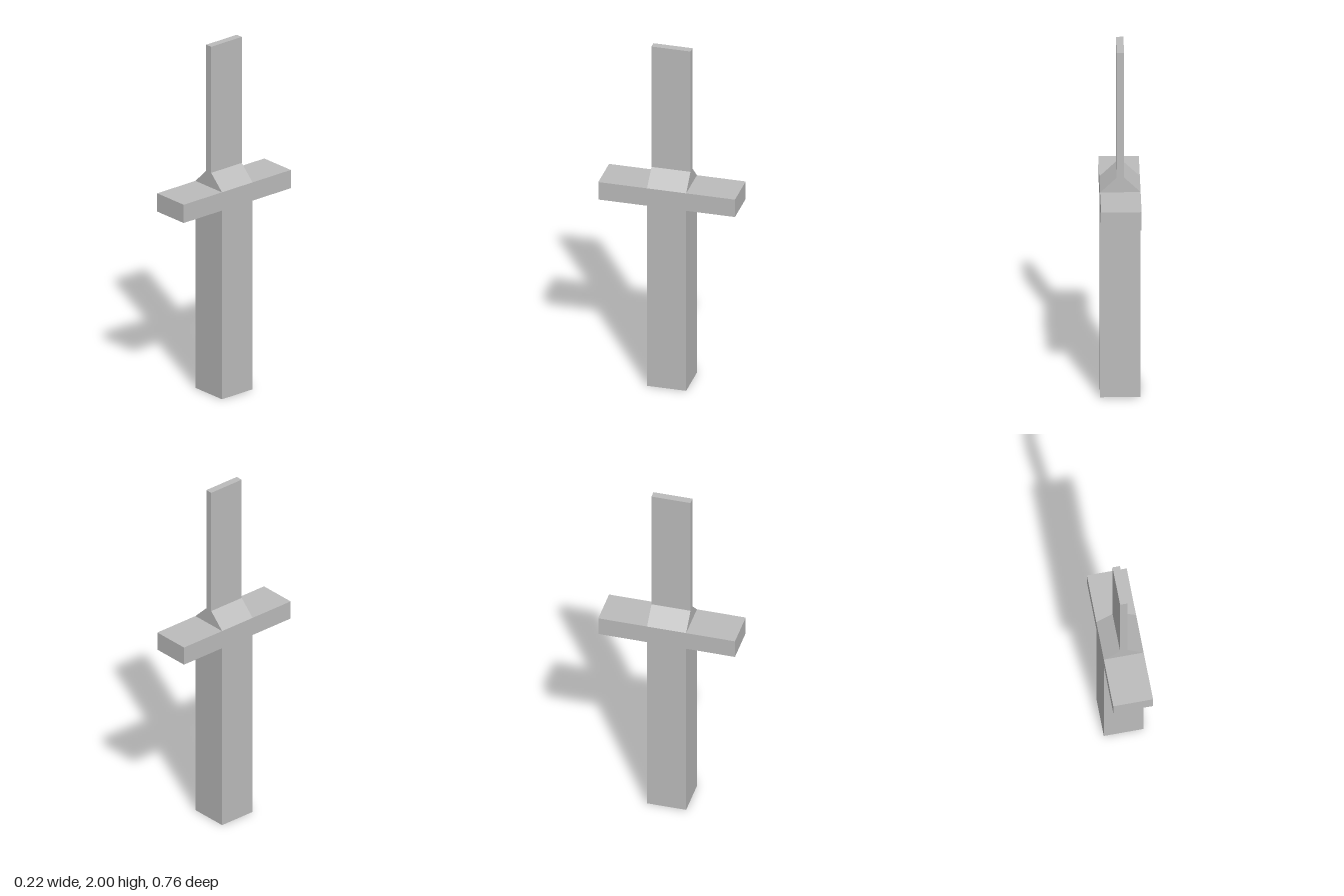
import * as THREE from 'three';

const HALF = 0.108;       // half width of grip and guard
const GUARD_HALF = 0.378; // half length of the guard along z
const GUARD_Y = 1.085;    // underside of the guard
const SHOULDER_Y = 1.19;  // top of the guard
const NECK_Y = 1.275;     // top of the tapered shoulder
const BLADE_HALF = 0.02;  // half thickness of the blade

export function createModel() {
  const gray = new THREE.MeshStandardMaterial({ color: 0xbbbbbb });
  gray.name = 'plain gray';
  const model = new THREE.Group();
  model.name = 'sword';

  const add = (name, geometry, y = 0, z = 0) => {
    const mesh = new THREE.Mesh(geometry, gray);
    mesh.name = name;
    mesh.position.set(0, y, z);
    model.add(mesh);
  };

  // Square grip
  add('grip', new THREE.BoxGeometry(2 * HALF, GUARD_Y, 2 * HALF), GUARD_Y / 2);

  // Crossguard running front to back
  add('guard', new THREE.BoxGeometry(2 * HALF, SHOULDER_Y - GUARD_Y, 2 * GUARD_HALF),
    (GUARD_Y + SHOULDER_Y) / 2);

  // Shoulder tapering into the blade
  const taper = new THREE.Shape([
    new THREE.Vector2(-HALF, SHOULDER_Y),
    new THREE.Vector2(HALF, SHOULDER_Y),
    new THREE.Vector2(BLADE_HALF, NECK_Y),
    new THREE.Vector2(-BLADE_HALF, NECK_Y),
  ]);
  add('shoulder', new THREE.ExtrudeGeometry(taper, { depth: 2 * HALF, bevelEnabled: false }), 0, -HALF);

  // Thin flat blade with a square tip
  add('blade', new THREE.BoxGeometry(2 * BLADE_HALF, 2 - NECK_Y, 2 * HALF), (2 + NECK_Y) / 2);

  return model;
}
